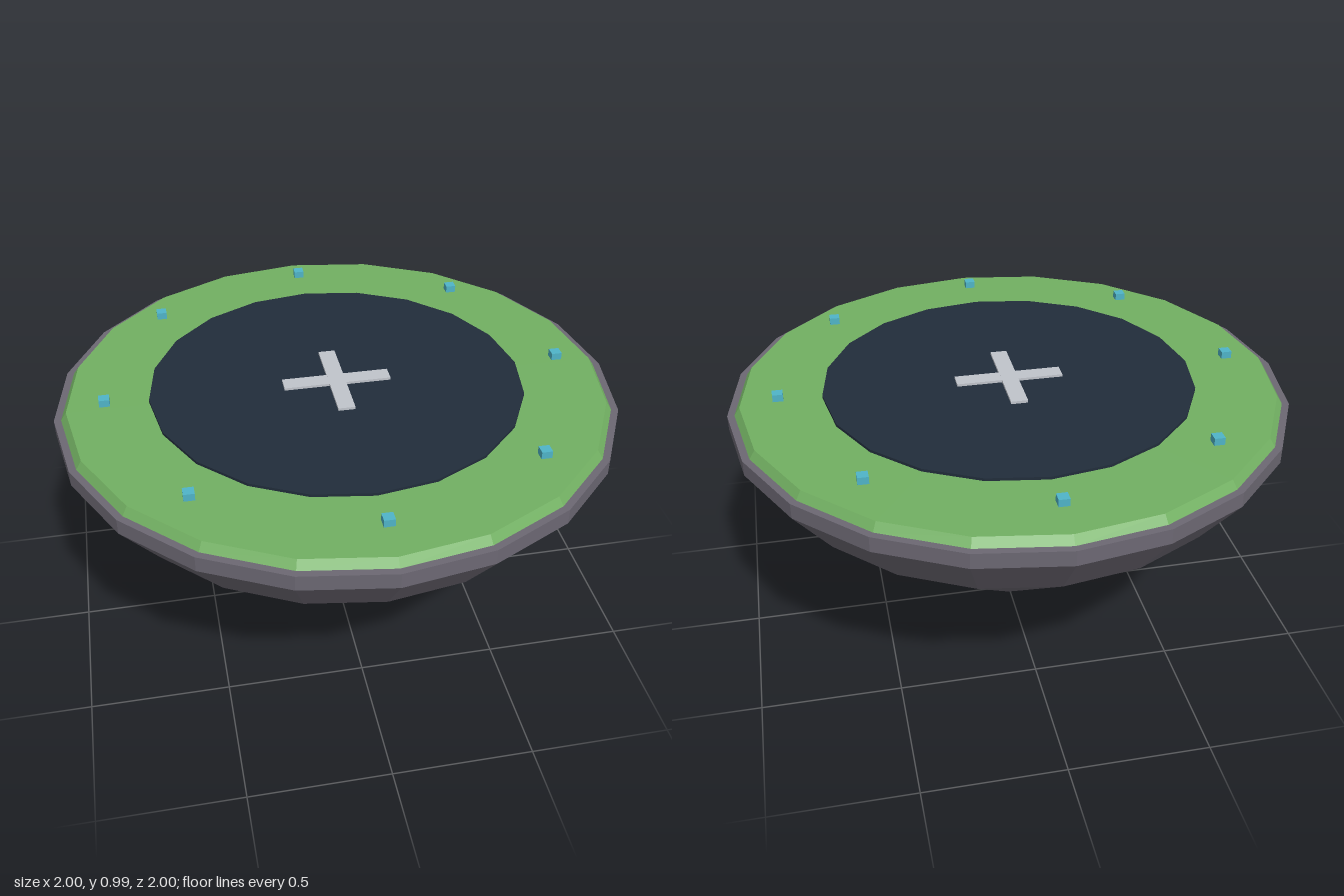
import * as THREE from 'three';

const SIDES = 20;

function material(name, color) {
  const m = new THREE.MeshStandardMaterial({ color, flatShading: true });
  m.name = name;
  return m;
}

export function createModel() {
  const group = new THREE.Group();
  const rock = material('rock grey', 0x6c6873);
  const grass = material('grass green', 0x72b062);
  const navy = material('dark navy', 0x212d3b);
  const paint = material('pale grey', 0xc0c4cb);
  const lamp = material('lamp cyan', 0x4fb4c8);

  function add(name, geometry, mat, x = 0, y = 0, z = 0) {
    const mesh = new THREE.Mesh(geometry, mat);
    mesh.name = name;
    mesh.position.set(x, y, z);
    group.add(mesh);
    return mesh;
  }

  // Faceted disc or frustum between two heights
  function frustum(name, rTop, rBottom, y0, y1, mat) {
    add(name, new THREE.CylinderGeometry(rTop, rBottom, y1 - y0, SIDES), mat, 0, (y0 + y1) / 2, 0);
  }

  // Rock underside and rim, one closed profile from tip to top
  const profile = [[0, 0], [0.04, 0.005], [0.855, 0.67], [1, 0.86], [1, 0.915], [0, 0.915]]
    .map(([r, y]) => new THREE.Vector2(r, y));
  add('rockBase', new THREE.LatheGeometry(profile, SIDES), rock);

  // Grass layer and landing pad
  frustum('grassTop', 0.955, 0.975, 0.915, 0.944, grass);
  frustum('landingPad', 0.667, 0.667, 0.95, 0.96, navy);

  // Cross marking on the pad
  add('crossBarX', new THREE.BoxGeometry(0.384, 0.009, 0.06), paint, 0, 0.9645, 0);
  add('crossBarZ', new THREE.BoxGeometry(0.06, 0.0094, 0.384), paint, 0, 0.9647, 0);

  // Ring of eight marker lamps
  for (let i = 0; i < 8; i++) {
    const a = (i / 8) * Math.PI * 2;
    add('markerLamp' + (i + 1), new THREE.BoxGeometry(0.037, 0.026, 0.037), lamp,
      0.82 * Math.sin(a), 0.976, 0.82 * Math.cos(a));
  }

  return group;
}
